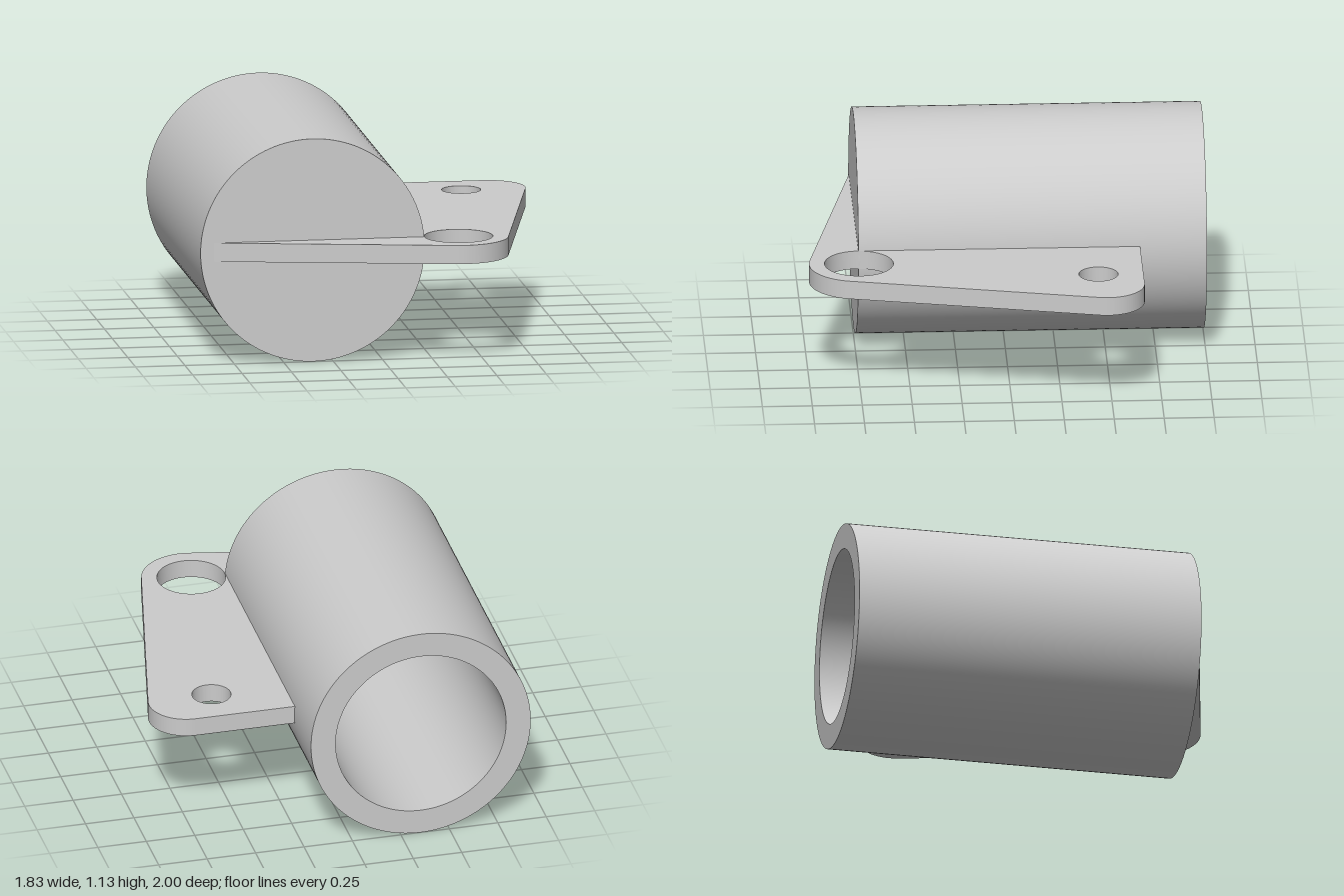
import * as THREE from 'three';
import { toCreasedNormals } from 'three/addons/utils/BufferGeometryUtils.js';

const material = new THREE.MeshStandardMaterial({ color: 0xcccccc });

function addMesh(group, name, geometry) {
  const mesh = new THREE.Mesh(toCreasedNormals(geometry, 0.5), material);
  mesh.name = name;
  group.add(mesh);
  return mesh;
}

function circleHole(x, z, r) {
  return new THREE.Path().absarc(x, -z, r, 0, Math.PI * 2, true);
}

export function createModel() {
  const model = new THREE.Group();
  model.name = 'cupWithMountingPlate';

  // Cup: closed at the front, bored out from the back
  const outer = 0.567, bore = 0.44, back = -1, front = 0.745, floor = 0.62;
  const profile = [
    [0, floor], [bore, floor], [bore, back],
    [outer, back], [outer, front], [0, front],
  ].map(([r, z]) => new THREE.Vector2(r, z));
  const cup = new THREE.LatheGeometry(profile, 128);
  cup.rotateX(Math.PI / 2);
  addMesh(model, 'cup', cup).position.set(-0.353, 0.567, 0);

  // Plate outline, drawn in x and -z: tangent lines joining two rounded corners
  const deg = Math.PI / 180;
  const outline = new THREE.Shape();
  outline.moveTo(-0.91, -0.743);
  outline.absarc(0.385, -0.75, 0.25, -101.2 * deg, -12.8 * deg, false);
  outline.absarc(0.725, 0.475, 0.19, -12.8 * deg, 90 * deg, false);
  outline.lineTo(0.2, 0.665);
  outline.lineTo(0.2, -0.735);
  outline.lineTo(-0.9, -0.735);
  outline.closePath();
  outline.holes.push(circleHole(0.385, 0.75, 0.172), circleHole(0.585, -0.44, 0.098));

  const plate = new THREE.ExtrudeGeometry(outline, {
    depth: 0.095, bevelEnabled: false, curveSegments: 48,
  });
  plate.rotateX(-Math.PI / 2);
  addMesh(model, 'mountingPlate', plate).position.y = 0.523;

  return model;
}
